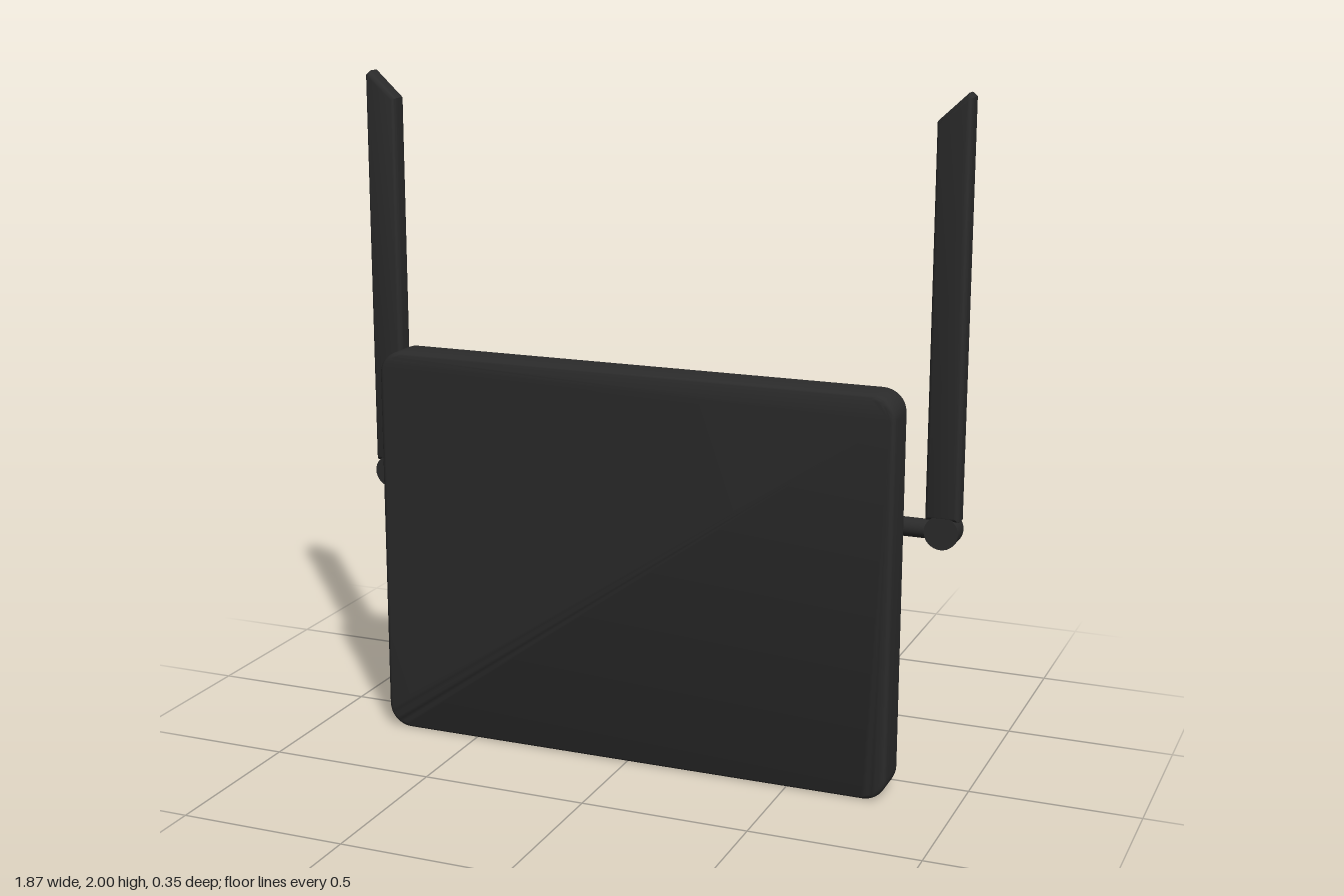
import * as THREE from 'three';
import { toCreasedNormals } from 'three/addons/utils/BufferGeometryUtils.js';

// Rounded slab lofted along z; each section is [z, inset].
function slab(w, h, r, sections) {
  const pos = [], idx = [], seg = 8, n = 4 * (seg + 1);
  for (const [z, inset] of sections) {
    for (let c = 0; c < 4; c++) {
      const sx = c === 0 || c === 3 ? 1 : -1, sy = c < 2 ? 1 : -1;
      for (let k = 0; k <= seg; k++) {
        const a = (c + k / seg) * Math.PI / 2;
        pos.push(sx * (w / 2 - r) + Math.cos(a) * (r - inset),
          sy * (h / 2 - r) + Math.sin(a) * (r - inset), z);
      }
    }
  }
  const last = (sections.length - 1) * n;
  for (let s = 0; s < last; s += n) {
    for (let i = 0; i < n; i++) {
      const j = (i + 1) % n;
      idx.push(s + i, s + j, s + n + j, s + i, s + n + j, s + n + i);
    }
  }
  for (let i = 1; i < n - 1; i++) {
    idx.push(last, last + i, last + i + 1, 0, i + 1, i);
  }
  const g = new THREE.BufferGeometry();
  g.setAttribute('position', new THREE.Float32BufferAttribute(pos, 3));
  g.setIndex(idx);
  return toCreasedNormals(g, 0.6);
}

export function createModel() {
  const model = new THREE.Group();
  model.name = 'wallDisplayWithAntennas';
  const mat = (name, color) => {
    const m = new THREE.MeshStandardMaterial({ color });
    m.name = name;
    return m;
  };
  const black = mat('blackPlastic', 0x2b2b2b);
  const blue = mat('bluePlastic', 0x3f80cc);
  const brass = mat('brass', 0xb8924a);

  const add = (name, geo, material, x = 0, y = 0, z = 0, parent = model) => {
    const mesh = new THREE.Mesh(geo, material);
    mesh.name = name;
    mesh.position.set(x, y, z);
    parent.add(mesh);
    return mesh;
  };
  // Cylinders along x or z
  const rodX = (r, x0, x1, sides = 24) =>
    new THREE.CylinderGeometry(r, r, x1 - x0, sides).rotateZ(-Math.PI / 2).translate((x0 + x1) / 2, 0, 0);
  const discZ = (r, z0, z1, sides = 32) =>
    new THREE.CylinderGeometry(r, r, z1 - z0, sides).rotateX(Math.PI / 2).translate(0, 0, (z0 + z1) / 2);

  // Main housing: wide fillet at the back, small one at the front
  const sections = [];
  for (let i = 0; i <= 8; i++) {
    const a = i / 8 * Math.PI / 2;
    sections.push([0.01 + 0.06 * (1 - Math.cos(a)), 0.06 * (1 - Math.sin(a))]);
  }
  for (let i = 0; i <= 4; i++) {
    const a = i / 4 * Math.PI / 2;
    sections.push([0.161 + 0.014 * Math.sin(a), 0.014 * (1 - Math.cos(a))]);
  }
  add('housing', slab(1.6, 1.19, 0.07, sections), black, 0, 0.595, 0);

  // Rear module and its cover plate
  add('rearBox', slab(1.14, 0.75, 0.03, [[-0.135, 0], [0.015, 0]]), black, -0.07, 0.575, 0);
  add('rearPlate', slab(1.23, 0.84, 0.012, [[-0.145, 0], [-0.13, 0]]), black, -0.07, 0.575, 0);

  // Controls on the rear plate
  for (const y of [0.695, 0.54]) add('knob', discZ(0.048, -0.177, -0.14), blue, 0.24, y, 0);
  add('button', discZ(0.046, -0.152, -0.14), black, 0.24, 0.37, 0);
  add('brassPin', discZ(0.017, -0.152, -0.14, 16), brass, -0.315, 0.335, 0);
  add('bluePin', discZ(0.017, -0.152, -0.14, 16), blue, -0.405, 0.335, 0);
  for (const [y, h] of [[0.685, 0.035], [0.535, 0.09], [0.392, 0.035]]) {
    add('labelStrip', new THREE.BoxGeometry(0.28, h, 0.008), black, -0.055, y, -0.146);
  }

  // Antenna blade: slanted tip, rounded edges
  const blade = new THREE.Shape();
  [[-0.05, 0.79], [0.05, 0.79], [0.05, 1.988], [0.036, 2.0], [-0.05, 1.92]]
    .forEach(([x, y], i) => (i ? blade.lineTo(x, y) : blade.moveTo(x, y)));
  const mirrored = new THREE.Shape(blade.getPoints().map((p) => new THREE.Vector2(-p.x, p.y)).reverse());
  const bladeGeo = (shape) => toCreasedNormals(new THREE.ExtrudeGeometry(shape, {
    depth: 0.032, bevelEnabled: true, bevelThickness: 0.018, bevelSize: 0.018,
    bevelOffset: -0.018, bevelSegments: 5,
  }).translate(0, 0, -0.016), 0.6);

  // Each antenna: brass socket, collar, arm, hinge and blade
  for (const [side, boxX, collarX] of [[1, 0.5, 0.58], [-1, 0.64, 0.69]]) {
    const antenna = new THREE.Group();
    antenna.name = side > 0 ? 'leftAntenna' : 'rightAntenna';
    antenna.position.set(0, 0, -0.06);
    model.add(antenna);
    const rod = (name, r, x0, x1, material, sides) => add(name,
      side > 0 ? rodX(r, x0, x1, sides) : rodX(r, -x1, -x0, sides), material, 0, 0.757, 0, antenna);
    rod('brassNut', 0.036, boxX - 0.005, boxX + 0.018, brass, 6);
    rod('brassSocket', 0.025, boxX, collarX + 0.01, brass);
    rod('collar', 0.037, collarX, collarX + 0.07, black);
    rod('arm', 0.028, collarX + 0.06, 0.86, black);
    add('hinge', discZ(0.05, -0.032, 0.032), black, side * 0.885, 0.757, 0, antenna);
    add('blade', bladeGeo(side > 0 ? blade : mirrored), black, side * 0.885, 0, 0, antenna);
  }
  return model;
}
